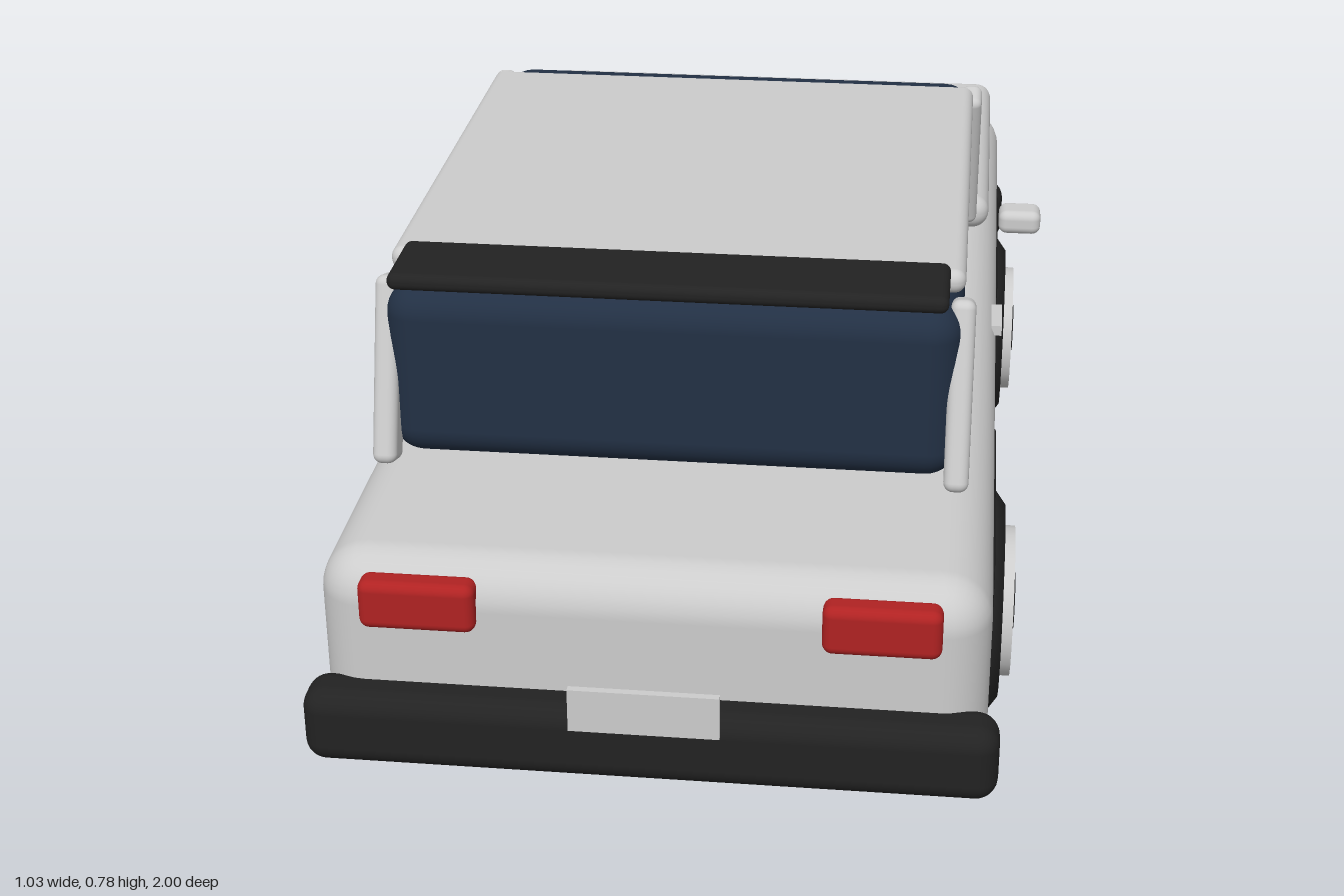
import * as THREE from 'three';
import { RoundedBoxGeometry } from 'three/addons/geometries/RoundedBoxGeometry.js';

const material = (name, color) => {
  const m = new THREE.MeshStandardMaterial({ color });
  m.name = name;
  return m;
};

export function createModel() {
  const car = new THREE.Group();
  car.name = 'car';
  const paint = material('light grey paint', 0xcccccc);
  const black = material('black rubber', 0x222222);
  const glass = material('dark blue glass', 0x223044);
  const red = material('red lens', 0xb02222);
  const cream = material('cream lens', 0xe8e0b0);

  // Box given by its limits on each axis; radius 0 keeps the edges sharp
  function box(name, mat, [x0, x1], [y0, y1], [z0, z1], radius = 0) {
    const w = x1 - x0, h = y1 - y0, d = z1 - z0;
    const geometry = radius
      ? new RoundedBoxGeometry(w, h, d, 4, radius)
      : new THREE.BoxGeometry(w, h, d);
    const mesh = new THREE.Mesh(geometry, mat);
    mesh.name = name;
    mesh.position.set((x0 + x1) / 2, (y0 + y1) / 2, (z0 + z1) / 2);
    car.add(mesh);
    return mesh;
  }

  // Main shell
  box('body', paint, [-0.448, 0.448], [0.172, 0.453], [-0.95, 0.94], 0.065);
  const hood = box('hood', paint, [-0.43, 0.43], [0.455, 0.513], [-0.92, -0.262], 0.028);
  hood.rotation.x = -0.015;
  box('cabinGlass', glass, [-0.393, 0.393], [0.487, 0.742], [-0.256, 0.71], 0.045);
  box('roof', paint, [-0.394, 0.394], [0.737, 0.771], [-0.132, 0.635], 0.016);
  box('roofSpoiler', black, [-0.373, 0.373], [0.758, 0.782], [0.62, 0.747], 0.011);

  // Bumpers, plate and grille
  box('rearBumper', black, [-0.464, 0.464], [0.165, 0.275], [0.91, 0.99], 0.03);
  box('frontBumper', black, [-0.464, 0.464], [0.165, 0.275], [-1, -0.918], 0.03);
  box('rearPlate', paint, [-0.1, 0.1], [0.252, 0.315], [0.988, 0.998]);
  box('grille', black, [-0.2, 0.2], [0.24, 0.35], [-0.96, -0.93]);

  // Paired parts
  for (const s of [-1, 1]) {
    const side = (a, b) => (s > 0 ? [a, b] : [-b, -a]);
    box('tailLight', red, side(0.228, 0.384), [0.362, 0.433], [0.915, 0.957], 0.014);
    box('headlight', cream, side(0.188, 0.383), [0.35, 0.417], [-0.966, -0.926], 0.012);
    box('mirror', paint, side(0.446, 0.515), [0.51, 0.55], [-0.187, -0.13], 0.014);
    box('doorHandle', paint, side(0.44, 0.457), [0.405, 0.422], [-0.043, 0.042]);

    // Slanted roof pillars
    const rear = box('rearPillar', paint, side(0.375, 0.409), [0.482, 0.744], [0.654, 0.708], 0.013);
    rear.rotation.x = -0.31;
    const front = box('frontPillar', paint, side(0.375, 0.409), [0.482, 0.744], [-0.255, -0.201], 0.013);
    front.rotation.x = 0.3;

    // Wheels and their arch panels
    for (const z of [-0.487, 0.484]) {
      box('wheelArch', black, side(0.423, 0.452), [0.11, 0.356], [z - 0.217, z + 0.217], 0.008);
      const wheel = new THREE.Group();
      wheel.name = 'wheel';
      wheel.position.set(s * 0.427, 0.176, z);
      const tire = new THREE.Mesh(new THREE.TorusGeometry(0.13, 0.043, 10, 32), black);
      tire.name = 'tire';
      tire.rotation.y = Math.PI / 2;
      wheel.add(tire);
      for (const [name, mat, r, w] of [['rim', paint, 0.112, 0.108], ['hub', black, 0.042, 0.115]]) {
        const disc = new THREE.Mesh(new THREE.CylinderGeometry(r, r, w, 28), mat);
        disc.name = name;
        disc.rotation.z = Math.PI / 2;
        disc.position.x = s * 0.003;
        wheel.add(disc);
      }
      car.add(wheel);
    }
  }
  return car;
}
